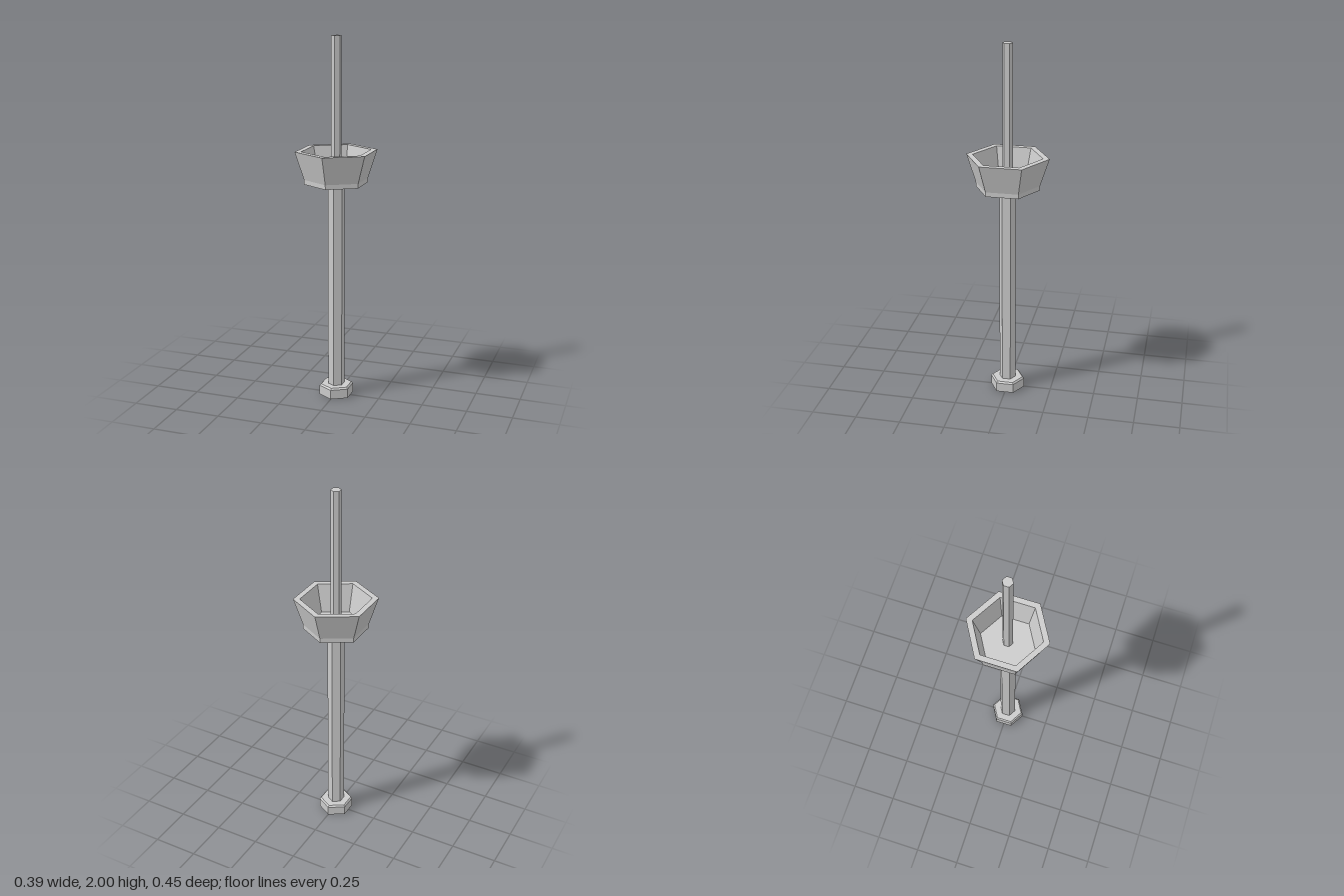
import * as THREE from 'three';

const SIDES = 6;
const solid = new THREE.MeshStandardMaterial({ color: 0xcccccc, flatShading: true });
const shell = new THREE.MeshStandardMaterial({ color: 0xcccccc, flatShading: true, side: THREE.DoubleSide });

// Six-sided turned part from [radius, height] pairs, listed from the bottom outwards and up
function turned(name, profile, material = solid) {
  const points = profile.map(([r, y]) => new THREE.Vector2(r, y));
  const mesh = new THREE.Mesh(new THREE.LatheGeometry(points, SIDES), material);
  mesh.name = name;
  return mesh;
}

// Upright hexagonal bar between two heights
function bar(name, radius, bottom, top) {
  const geometry = new THREE.CylinderGeometry(radius, radius, top - bottom, SIDES);
  const mesh = new THREE.Mesh(geometry, solid);
  mesh.position.y = (bottom + top) / 2;
  mesh.name = name;
  return mesh;
}

export function createModel() {
  const model = new THREE.Group();
  model.name = 'candleStand';

  // Hollow foot, open underneath, with a small bevel at the top
  model.add(turned('foot', [[0.096, 0], [0.096, 0.053], [0.087, 0.062], [0.04, 0.062]], shell));

  // Lower stem
  model.add(bar('stem', 0.046, 0.055, 1.217));

  // Flared cup with a straight lower band, flat rim and hollow inside
  model.add(turned('cup', [
    [0, 1.215], [0.175, 1.215], [0.175, 1.24], [0.225, 1.393],
    [0.19, 1.393], [0.15, 1.24], [0, 1.24],
  ]));

  // Thin rod rising from the cup floor
  model.add(bar('rod', 0.028, 1.235, 2));

  return model;
}
